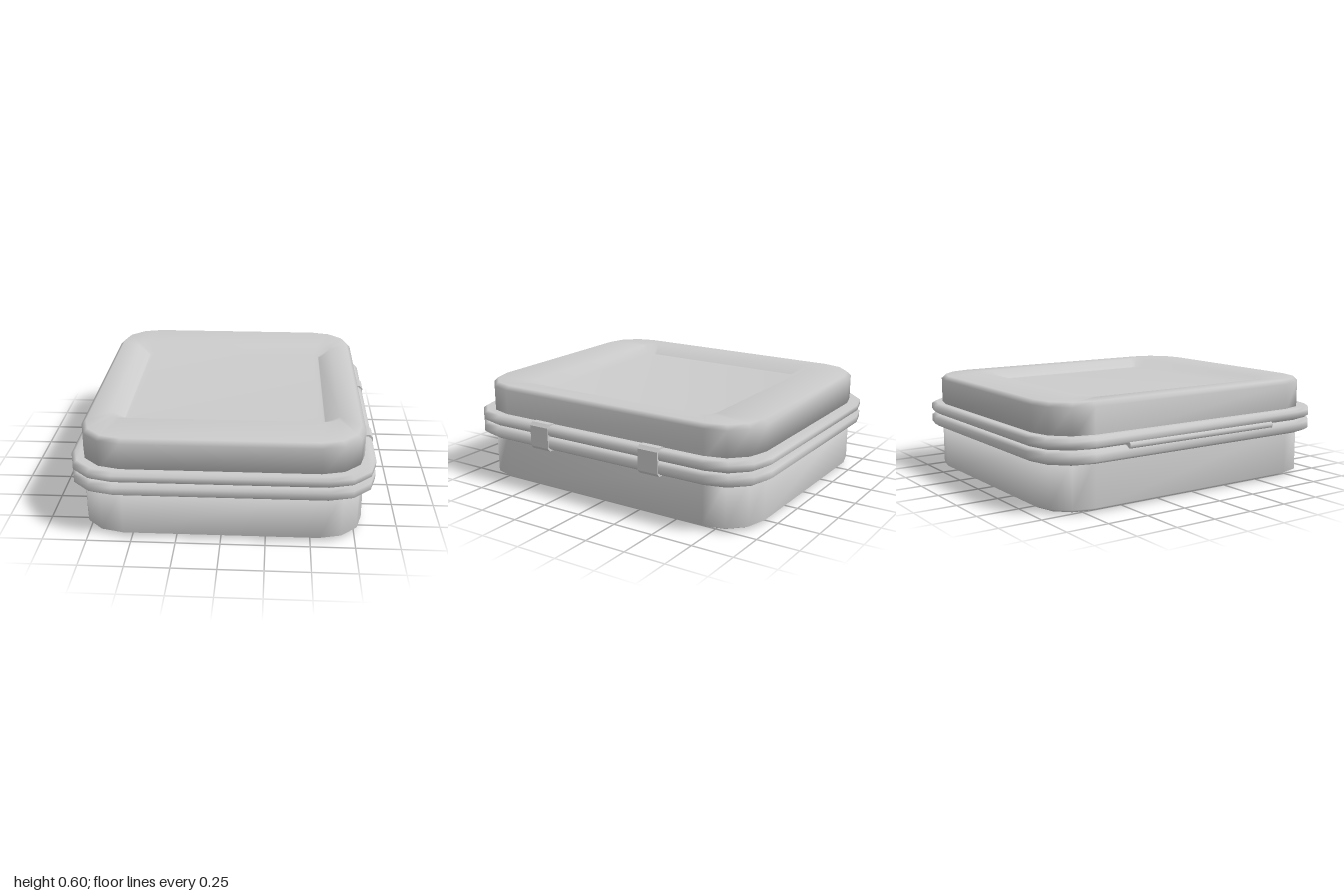
import * as THREE from 'three';

const material = new THREE.MeshStandardMaterial({ color: 0xcccccc });
const CORNER_STEPS = 3;

// Rounded rectangle outline in the xz plane at height y
function outline(hx, hz, r, y) {
  const points = [];
  const corners = [[1, 1], [-1, 1], [-1, -1], [1, -1]];
  corners.forEach(([sx, sz], q) => {
    for (let i = 0; i <= CORNER_STEPS; i++) {
      const a = (q + i / CORNER_STEPS) * Math.PI / 2;
      points.push([sx * (hx - r) + r * Math.cos(a), y, sz * (hz - r) + r * Math.sin(a)]);
    }
  });
  return points;
}

// Closed skin through rings [halfX, halfZ, cornerRadius, y], bottom to top
function loft(name, rings) {
  const loops = rings.map((ring) => outline(...ring));
  const n = loops[0].length;
  const index = [];
  for (let k = 0; k < loops.length - 1; k++) {
    for (let i = 0; i < n; i++) {
      const j = (i + 1) % n;
      const a = k * n + i, b = k * n + j, c = a + n, d = b + n;
      index.push(a, c, b, b, c, d);
    }
  }
  // End caps, as strips running from front to back
  const top = (loops.length - 1) * n;
  for (let i = 0; i < n / 2 - 1; i++) {
    const a = i, b = i + 1, c = n - 1 - i, d = n - 2 - i;
    index.push(a, b, c, b, d, c);
    index.push(top + a, top + c, top + b, top + b, top + c, top + d);
  }
  const geometry = new THREE.BufferGeometry();
  geometry.setAttribute('position', new THREE.Float32BufferAttribute(loops.flat(2), 3));
  geometry.setIndex(index);
  geometry.computeVertexNormals();
  const mesh = new THREE.Mesh(geometry, material);
  mesh.name = name;
  return mesh;
}

// Rim flange with a softened outer edge
function flange(name, y0, y1) {
  const b = 0.016;
  return loft(name, [
    [0.84, 0.975, 0.25, y0],
    [0.862, 1, 0.27, y0 + b],
    [0.862, 1, 0.27, y1 - b],
    [0.84, 0.975, 0.25, y1],
  ]);
}

// Hooked clip that grips both flanges
function clip(z) {
  const width = 0.13;
  const profile = [
    [0.8, 0.425], [0.815, 0.435], [0.85, 0.435], [0.868, 0.415],
    [0.868, 0.29], [0.85, 0.27], [0.815, 0.27], [0.8, 0.28],
    [0.835, 0.285], [0.85, 0.3], [0.85, 0.405], [0.835, 0.42],
  ];
  const shape = new THREE.Shape(profile.map(([x, y]) => new THREE.Vector2(x, y)));
  const geometry = new THREE.ExtrudeGeometry(shape, { depth: width, bevelEnabled: false });
  const mesh = new THREE.Mesh(geometry, material);
  mesh.position.z = z - width / 2;
  mesh.name = 'clip';
  return mesh;
}

export function createModel() {
  const model = new THREE.Group();
  model.name = 'lunchBox';

  // Lower tub with a bevelled base
  model.add(loft('tub', [
    [0.75, 0.9, 0.21, 0],
    [0.8, 0.945, 0.25, 0.025],
    [0.8, 0.945, 0.25, 0.3],
  ]));

  // Lid with a shallow sunken panel
  model.add(loft('lid', [
    [0.8, 0.945, 0.25, 0.4],
    [0.8, 0.945, 0.25, 0.575],
    [0.775, 0.92, 0.23, 0.6],
    [0.66, 0.65, 0.08, 0.6],
    [0.58, 0.57, 0.04, 0.55],
  ]));

  // Flanges and the seal between them
  model.add(flange('tubFlange', 0.28, 0.352));
  model.add(flange('lidFlange', 0.36, 0.425));
  model.add(loft('seal', [
    [0.76, 0.9, 0.22, 0.34],
    [0.76, 0.9, 0.22, 0.37],
  ]));

  // Clips on one side
  for (const z of [-0.385, 0.385]) model.add(clip(z));

  // Hinge rod on the other side
  const hinge = new THREE.Mesh(new THREE.CylinderGeometry(0.02, 0.02, 1.04, 10), material);
  hinge.rotation.x = Math.PI / 2;
  hinge.position.set(-0.852, 0.356, 0);
  hinge.name = 'hinge';
  model.add(hinge);

  return model;
}
